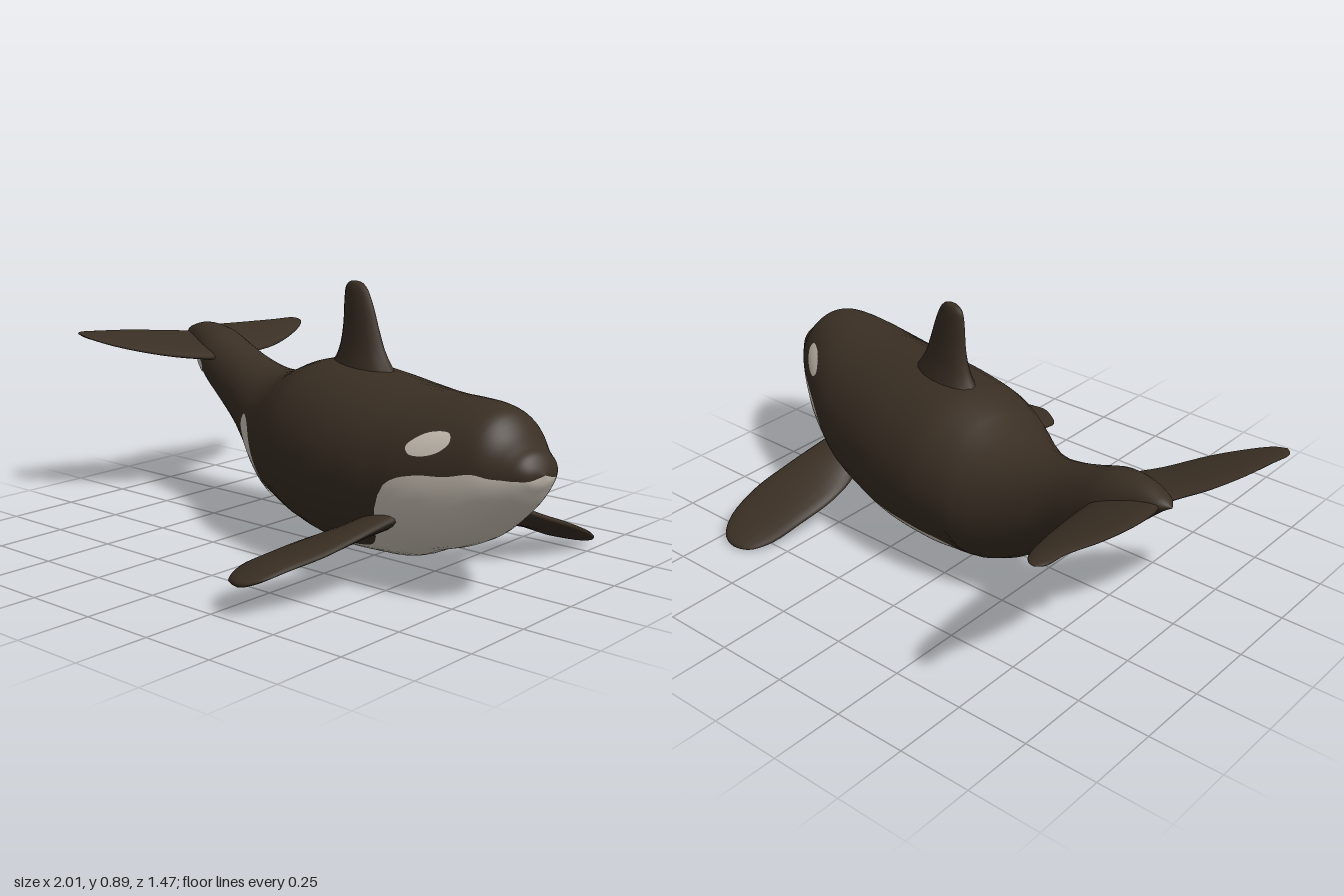
import * as THREE from 'three';

const dark = new THREE.MeshStandardMaterial({ color: 0x3a2f24 });
dark.name = 'dark skin';
const white = new THREE.MeshStandardMaterial({ color: 0xd2c9bc, side: THREE.DoubleSide });
white.name = 'pale skin';

// Body outline along the spine: station, top, bottom, half width, sideways offset
const BODY = [
  [-0.92, 0.61, 0.61, 0, -0.035], [-0.88, 0.63, 0.58, 0.035, -0.036], [-0.8, 0.65, 0.505, 0.065, -0.04],
  [-0.7, 0.642, 0.42, 0.095, -0.048], [-0.6, 0.605, 0.35, 0.105, -0.056], [-0.5, 0.57, 0.28, 0.117, -0.063],
  [-0.4, 0.545, 0.21, 0.145, -0.07], [-0.3, 0.54, 0.14, 0.18, -0.076], [-0.2, 0.56, 0.09, 0.22, -0.08],
  [-0.1, 0.6, 0.067, 0.252, -0.08], [0, 0.627, 0.048, 0.275, -0.082], [0.2, 0.625, 0.035, 0.292, -0.083],
  [0.4, 0.612, 0.055, 0.283, -0.083], [0.5, 0.606, 0.072, 0.272, -0.083], [0.6, 0.605, 0.115, 0.252, -0.083],
  [0.7, 0.61, 0.15, 0.222, -0.083], [0.8, 0.61, 0.198, 0.182, -0.083], [0.87, 0.592, 0.25, 0.15, -0.083],
  [0.92, 0.54, 0.295, 0.122, -0.083], [0.96, 0.512, 0.34, 0.098, -0.083], [0.99, 0.495, 0.38, 0.075, -0.083],
  [1.01, 0.465, 0.41, 0.045, -0.083], [1.02, 0.44, 0.44, 0, -0.083],
];

// Pale belly: station, edge angle from the keel on the left and on the right
const BELLY = [
  [-0.92, 0, 0], [-0.21, 0, 0], [-0.18, 0, 0.02], [-0.15, 0.03, 0.6], [-0.1, 0.12, 0.85], [0, 0.36, 0.95],
  [0.2, 0.52, 1], [0.4, 0.62, 1], [0.5, 0.85, 0.98], [0.55, 1.25, 1.2], [0.6, 1.57, 1.5], [0.7, 1.67, 1.65],
  [0.8, 1.62, 1.62], [0.92, 1.63, 1.63], [0.96, 1.56, 1.56], [0.99, 1.35, 1.35], [1.02, 1.1, 1.1],
];

// Smooth (Hermite) lookup in a table sorted by its first column
function sample(table, s) {
  let i = 0;
  while (i < table.length - 2 && s > table[i + 1][0]) i++;
  const a = table[i], b = table[i + 1];
  const p = table[Math.max(i - 1, 0)], q = table[Math.min(i + 2, table.length - 1)];
  const d = b[0] - a[0], t = THREE.MathUtils.clamp((s - a[0]) / d, 0, 1);
  return a.map((_, k) => {
    const m0 = (b[k] - p[k]) / (b[0] - p[0]) * d, m1 = (q[k] - a[k]) / (q[0] - a[0]) * d;
    const t2 = t * t, t3 = t2 * t;
    return (2 * t3 - 3 * t2 + 1) * a[k] + (t3 - 2 * t2 + t) * m0 + (3 * t2 - 2 * t3) * b[k] + (t3 - t2) * m1;
  });
}

// Heading of the swimming body
const COS = Math.cos(0.253), SIN = Math.sin(0.253);

// Point on the skin at a station and an angle from the keel towards the left side
function skin(s, angle, lift = 0) {
  const [, top, bottom, w, c] = sample(BODY, s);
  const h = Math.max((top - bottom) / 2, 0) + lift;
  const t = c + (Math.max(w, 0) + lift) * Math.sin(angle);
  return new THREE.Vector3(s * COS - t * SIN, (top + bottom) / 2 - h * Math.cos(angle), s * SIN + t * COS);
}

// Closed loops of points joined into a smooth skin; isPale picks the second material
function loft(rings, isPale = () => false) {
  const n = rings[0].length, lists = [[], []];
  for (let i = 0; i < rings.length - 1; i++) {
    for (let j = 0; j < n; j++) {
      const a = i * n + j, d = i * n + (j + 1) % n;
      lists[isPale(i, j) ? 1 : 0].push(a, a + n, d + n, a, d + n, d);
    }
  }
  const geometry = new THREE.BufferGeometry().setFromPoints(rings.flat());
  geometry.setIndex([...lists[0], ...lists[1]]);
  geometry.addGroup(0, lists[0].length, 0);
  geometry.addGroup(lists[0].length, lists[1].length, 1);
  geometry.computeVertexNormals();
  return geometry;
}

function createBody() {
  const rows = 110, pale = 20, back = 28, rings = [], edges = [];
  for (let i = 0; i <= rows; i++) {
    const s = 0.05 - 0.97 * Math.cos(Math.PI * i / rows);
    const [, l, r] = sample(BELLY, s);
    const left = Math.max(l, 0.015), right = Math.max(r, 0.015);
    edges.push(left + right);
    const ring = [];
    for (let k = 0; k < pale; k++) ring.push(skin(s, -right + (left + right) * k / pale));
    for (let k = 0; k < back; k++) ring.push(skin(s, left + (2 * Math.PI - left - right) * k / back));
    rings.push(ring);
  }
  return new THREE.Mesh(loft(rings, (i, j) => j < pale && edges[i + 1] > 0.05), [dark, white]);
}

// Fin from sections: leading edge point, trailing edge point, thickness
function createFin(sections) {
  const curve = k => new THREE.CatmullRomCurve3(sections.map(f => new THREE.Vector3(...f[k])));
  const lead = curve(0), trail = curve(1), steps = 30, sides = 16, rings = [];
  const first = sections[0], last = sections[sections.length - 1];
  const span = new THREE.Vector3(...last[0]).sub(new THREE.Vector3(...first[0]));
  span.add(new THREE.Vector3(...last[1]).sub(new THREE.Vector3(...first[1])));
  const rootChord = new THREE.Vector3(...first[0]).sub(new THREE.Vector3(...first[1]));
  const normal = rootChord.cross(span).normalize();
  for (let i = 0; i <= steps; i++) {
    const u = i / steps, x = u * (sections.length - 1);
    const k = Math.min(Math.floor(x), sections.length - 2);
    const thick = THREE.MathUtils.lerp(sections[k][2], sections[k + 1][2], x - k);
    const le = lead.getPoint(u), te = trail.getPoint(u);
    const mid = le.clone().add(te).multiplyScalar(0.5), half = le.clone().sub(te).multiplyScalar(0.5);
    rings.push(Array.from({ length: sides }, (_, j) => {
      const a = j / sides * 2 * Math.PI;
      return mid.clone().addScaledVector(half, Math.cos(a)).addScaledVector(normal, thick / 2 * Math.sin(a));
    }));
  }
  return new THREE.Mesh(loft(rings), dark);
}

// Thin marking that hugs the skin, from a side outline; side -1 mirrors it to the right
function createMarking(outline, side = 1) {
  const curve = new THREE.CatmullRomCurve3(outline.map(([x, y]) => new THREE.Vector3(x, y, 0)), true);
  const edge = curve.getPoints(40).slice(0, 40);
  const centre = edge.reduce((sum, p) => sum.add(p), new THREE.Vector3()).multiplyScalar(1 / 40);
  const rings = [];
  for (let r = 0; r <= 6; r++) {
    rings.push(edge.map(p => {
      const q = centre.clone().lerp(p, r / 6);
      let s = q.x, angle = 0;
      for (let k = 0; k < 10; k++) {
        const [, top, bottom, w, c] = sample(BODY, s);
        angle = Math.acos(THREE.MathUtils.clamp((top + bottom - 2 * q.y) / (top - bottom), -1, 1));
        s = (q.x + SIN * (c + w * Math.sin(angle))) / COS;
      }
      return skin(s, angle * side, 0.004);
    }));
  }
  return new THREE.Mesh(loft(rings), white);
}

// Dorsal fin section at a height, lined up with the heading
const dorsal = (y, front, rear, thick) =>
  [[front, y, -0.05 + 0.25 * (front - 0.16)], [rear, y, -0.05 + 0.25 * (rear - 0.16)], thick];

export function createModel() {
  const model = new THREE.Group();
  const add = (name, mesh) => {
    mesh.name = name;
    model.add(mesh);
  };

  add('body', createBody());

  add('dorsalFin', createFin([
    dorsal(0.57, 0.35, -0.05, 0.15), dorsal(0.63, 0.29, 0.02, 0.115), dorsal(0.68, 0.255, 0.045, 0.09),
    dorsal(0.75, 0.225, 0.058, 0.07), dorsal(0.82, 0.198, 0.06, 0.055), dorsal(0.87, 0.17, 0.066, 0.04),
    dorsal(0.888, 0.145, 0.085, 0.025), dorsal(0.893, 0.115, 0.11, 0),
  ]));

  add('leftFlipper', createFin([
    [[0.58, 0.27, 0.22], [0.38, 0.18, 0.22], 0.07], [[0.555, 0.245, 0.31], [0.33, 0.155, 0.31], 0.06],
    [[0.53, 0.215, 0.42], [0.29, 0.145, 0.42], 0.05], [[0.5, 0.185, 0.52], [0.26, 0.13, 0.52], 0.045],
    [[0.45, 0.155, 0.62], [0.245, 0.115, 0.62], 0.04], [[0.41, 0.13, 0.695], [0.265, 0.1, 0.69], 0.03],
    [[0.37, 0.115, 0.727], [0.315, 0.105, 0.724], 0.02], [[0.342, 0.11, 0.733], [0.338, 0.11, 0.733], 0],
  ]));

  add('rightFlipper', createFin([
    [[0.66, 0.25, -0.09], [0.51, 0.17, -0.13], 0.07], [[0.69, 0.215, -0.17], [0.495, 0.14, -0.2], 0.055],
    [[0.73, 0.165, -0.28], [0.49, 0.11, -0.3], 0.045], [[0.76, 0.115, -0.4], [0.51, 0.075, -0.42], 0.04],
    [[0.757, 0.06, -0.52], [0.55, 0.03, -0.52], 0.035], [[0.725, 0.025, -0.58], [0.595, 0.012, -0.58], 0.025],
    [[0.69, 0.012, -0.597], [0.63, 0.01, -0.597], 0.015], [[0.662, 0.008, -0.6], [0.658, 0.008, -0.6], 0],
  ]));

  add('leftFluke', createFin([
    [[-0.58, 0.54, -0.19], [-0.83, 0.6, -0.28], 0.05], [[-0.61, 0.545, -0.1], [-0.86, 0.607, -0.21], 0.038],
    [[-0.68, 0.555, -0.01], [-0.91, 0.615, -0.12], 0.032], [[-0.77, 0.58, 0.1], [-0.955, 0.625, -0.01], 0.025],
    [[-0.86, 0.605, 0.17], [-0.985, 0.632, 0.11], 0.02], [[-0.93, 0.625, 0.204], [-0.999, 0.635, 0.18], 0.014],
    [[-0.972, 0.634, 0.21], [-0.976, 0.634, 0.21], 0],
  ]));

  add('rightFluke', createFin([
    [[-0.62, 0.535, -0.2], [-0.83, 0.6, -0.24], 0.05], [[-0.62, 0.54, -0.33], [-0.862, 0.615, -0.33], 0.038],
    [[-0.63, 0.545, -0.45], [-0.855, 0.612, -0.42], 0.032], [[-0.66, 0.565, -0.58], [-0.83, 0.61, -0.53], 0.026],
    [[-0.7, 0.59, -0.685], [-0.795, 0.61, -0.64], 0.02], [[-0.735, 0.602, -0.73], [-0.786, 0.609, -0.715], 0.014],
    [[-0.76, 0.606, -0.74], [-0.764, 0.606, -0.74], 0],
  ]));

  // Pale markings
  const eye = [[0.6, 0.478], [0.63, 0.508], [0.68, 0.53], [0.74, 0.532], [0.75, 0.51],
    [0.72, 0.478], [0.66, 0.458], [0.615, 0.46]];
  add('leftEyePatch', createMarking(eye));
  add('rightEyePatch', createMarking(eye, -1));
  add('flankPatch', createMarking([[-0.355, 0.36], [-0.33, 0.4], [-0.275, 0.375], [-0.21, 0.28],
    [-0.15, 0.185], [-0.148, 0.14], [-0.19, 0.145], [-0.27, 0.22], [-0.33, 0.3]]));
  add('tailPatch', createMarking([[-0.72, 0.525], [-0.69, 0.535], [-0.67, 0.51], [-0.68, 0.485], [-0.71, 0.495]]));

  return model;
}
